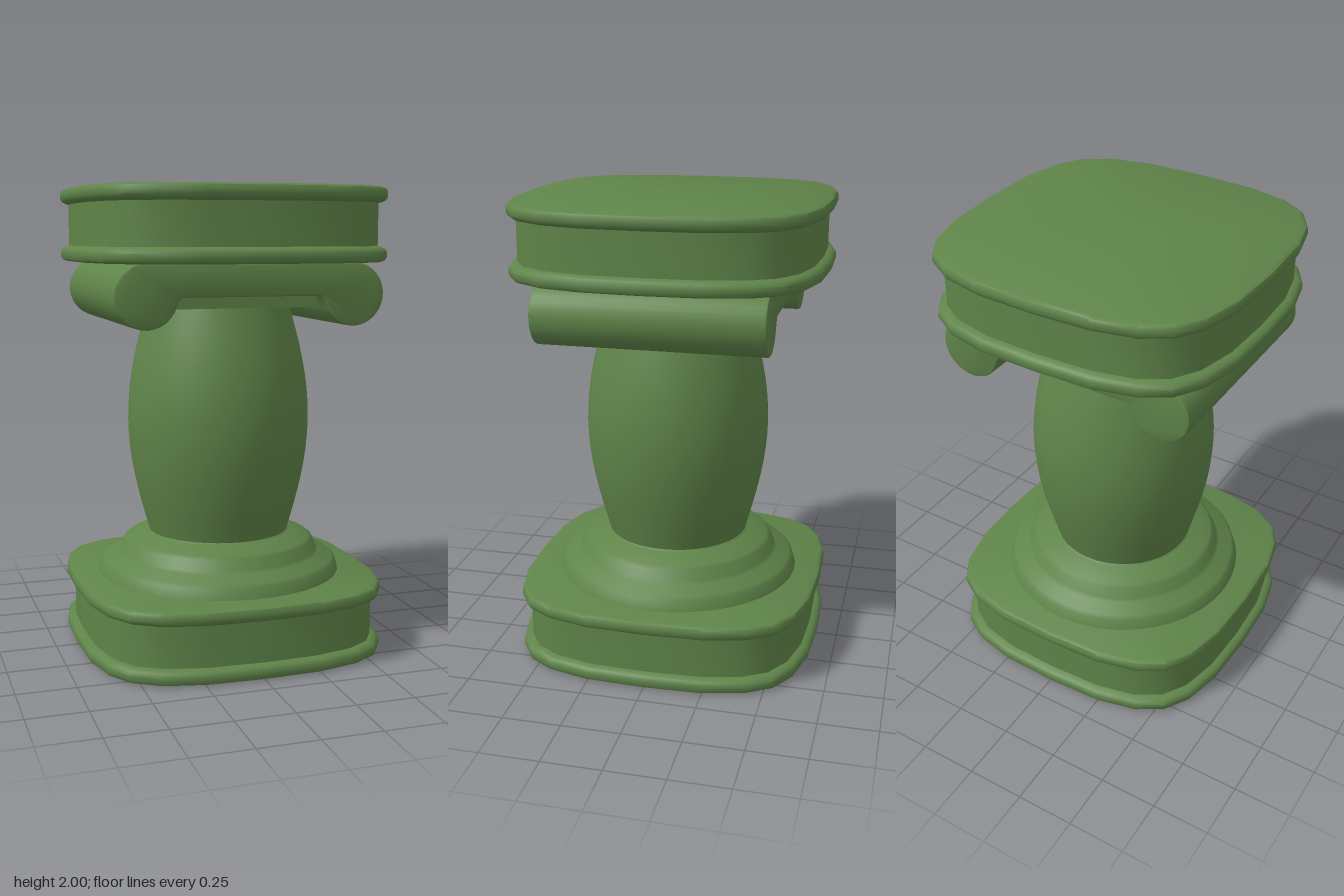
import * as THREE from 'three';
import { toCreasedNormals } from 'three/addons/utils/BufferGeometryUtils.js';

const green = new THREE.MeshStandardMaterial({ color: 0x5f8449 });

function part(name, geometry, crease = 0.7) {
  const mesh = new THREE.Mesh(toCreasedNormals(geometry, crease), green);
  mesh.name = name;
  return mesh;
}

const lathe = (points, sides) =>
  new THREE.LatheGeometry(points.map(([r, y]) => new THREE.Vector2(r, y)), sides);

// One eighth of the rounded-square outline, as fractions of the half width
const OUTLINE = [[0, 1], [0.379, 0.985], [0.65, 0.922], [0.818, 0.818]];

// Rounded-square slab with a rolled lip along its top and bottom edges
function slab(name, y) {
  const profile = [
    [0, 0], [0.64, 0], [0.655, 0.007], [0.661, 0.02], [0.661, 0.042], [0.653, 0.055], [0.64, 0.062], [0.626, 0.066],
    [0.626, 0.244], [0.64, 0.248], [0.653, 0.255], [0.661, 0.268], [0.661, 0.29], [0.655, 0.303], [0.64, 0.31], [0, 0.31],
  ];
  const geometry = lathe(profile, 24);
  const pos = geometry.attributes.position;
  // Move each lathe vertex from the circle to the rounded-square outline
  for (let i = 0; i < pos.count; i++) {
    const column = Math.floor(i / profile.length) % 24;
    const r = profile[i % profile.length][0];
    const step = column % 6;
    const [a, b] = step <= 3 ? OUTLINE[step] : [...OUTLINE[6 - step]].reverse();
    const turn = Math.floor(column / 6);
    const [x, z] = [[a, b], [b, -a], [-a, -b], [-b, a]][turn];
    pos.setXYZ(i, x * r, pos.getY(i), z * r);
  }
  const mesh = part(name, geometry);
  mesh.position.y = y;
  return mesh;
}

// Swelling column shaft
function shaft() {
  const points = [];
  for (let i = 0; i <= 16; i++) {
    const t = i / 16;
    points.push([0.308 + 0.095 * Math.sin(Math.PI * t), 0.48 + 1.04 * t]);
  }
  return part('shaft', lathe(points, 40));
}

// Stepped round foot moulding
function foot() {
  return part('footMoulding', lathe([
    [0.545, 0.305], [0.53, 0.355], [0.515, 0.37], [0.455, 0.393], [0.442, 0.405],
    [0.425, 0.45], [0.41, 0.462], [0.325, 0.487], [0.308, 0.495], [0.3, 0.51],
  ], 40), 0.9);
}

// Capital with a scroll on each side, running front to back
function scrolls() {
  const cx = 0.443, cy = 1.56, r = 0.132;
  const half = [[0.295, 1.555], [0.305, 1.547]];
  for (let i = 0; i <= 20; i++) {
    const a = THREE.MathUtils.degToRad(207 + (243 * i) / 20);
    half.push([cx + r * Math.cos(a), cy + r * Math.sin(a)]);
  }
  const mirrored = half.map(([x, y]) => [-x, y]).reverse();
  const shape = new THREE.Shape([...half, ...mirrored].map(([x, y]) => new THREE.Vector2(x, y)));
  const geometry = new THREE.ExtrudeGeometry(shape, {
    depth: 0.94, bevelThickness: 0.01, bevelSize: 0.008, bevelOffset: -0.008, bevelSegments: 2,
  });
  geometry.translate(0, 0, -0.47);
  return part('scrollCapital', geometry);
}

// Flat plate between the scrolls, resting on the shaft
function plate() {
  const mesh = part('capitalPlate', new THREE.BoxGeometry(0.66, 0.1, 0.8));
  mesh.position.y = 1.555;
  return mesh;
}

export function createModel() {
  const model = new THREE.Group();
  model.name = 'pedestal';
  model.add(slab('baseSlab', 0), foot(), shaft(), plate(), scrolls(), slab('topSlab', 1.69));
  return model;
}
